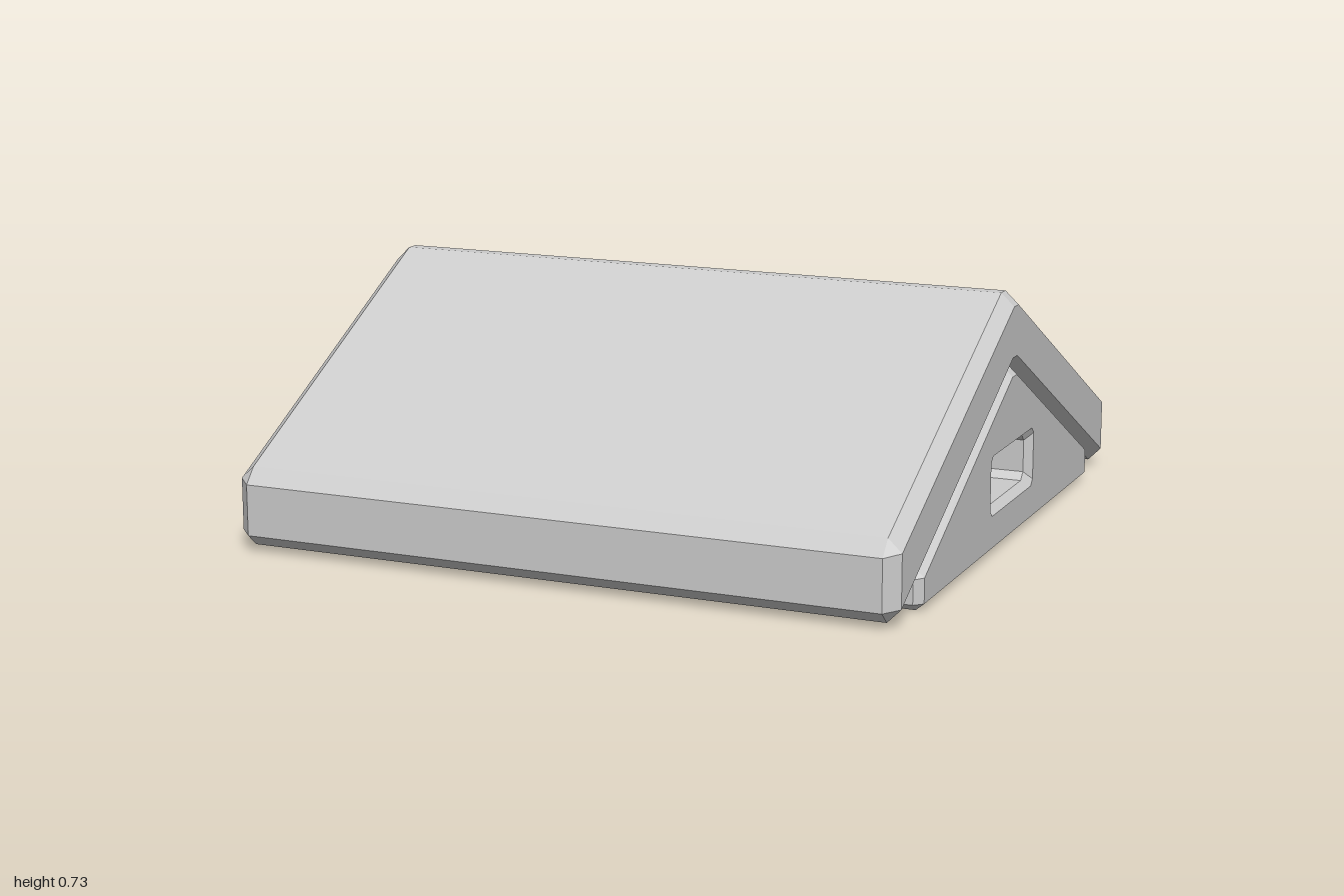
import * as THREE from 'three';

const material = new THREE.MeshStandardMaterial({ color: 0xcccccc, flatShading: true });

// Full symmetric ring of [z, y] points from its +z half, listed top to bottom
const mirrorRing = half => [...half, ...half.slice().reverse().map(([z, y]) => [-z, y])];

// Chamfered prism along x: full profile in the middle, inset profile on both end faces
function chamferedPrism(x0, x1, bevel, loops) {
  const pos = [];
  const a = new THREE.Vector3(), b = new THREE.Vector3(), c = new THREE.Vector3();
  const tri = (p, q, r) => {
    a.set(...p); b.set(...q); c.set(...r);
    if (b.clone().sub(a).cross(c.clone().sub(a)).length() > 1e-7) pos.push(...p, ...q, ...r);
  };

  // Side walls and chamfers
  loops.forEach(({ mid, end }, k) => {
    const rings = [[x0, end], [x0 + bevel, mid], [x1 - bevel, mid], [x1, end]]
      .map(([x, ring]) => ring.map(([z, y]) => [x, y, z]));
    for (let s = 0; s < 3; s++) {
      const r0 = rings[s], r1 = rings[s + 1], n = r0.length;
      for (let i = 0; i < n; i++) {
        // holes run the other way round
        const [p, q] = k === 0 ? [i, (i + 1) % n] : [(i + 1) % n, i];
        tri(r0[p], r0[q], r1[q]);
        tri(r0[p], r1[q], r1[p]);
      }
    }
  });

  // End faces, without the repeated corners
  const flat = loops.map(({ end }) => end
    .filter(([z, y], i) => {
      const [pz, py] = end[(i + end.length - 1) % end.length];
      return Math.hypot(z - pz, y - py) > 1e-6;
    })
    .map(([z, y]) => new THREE.Vector2(z, y)));
  const all = flat.flat();
  for (const f of THREE.ShapeUtils.triangulateShape(flat[0], flat.slice(1))) {
    let [p, q, r] = f.map(i => all[i]);
    // wind so that (z, y) order faces -x
    if ((q.x - p.x) * (r.y - p.y) - (q.y - p.y) * (r.x - p.x) < 0) [q, r] = [r, q];
    const at = (v, x) => [x, v.y, v.x];
    tri(at(p, x0), at(q, x0), at(r, x0));
    tri(at(p, x1), at(r, x1), at(q, x1));
  }

  const geo = new THREE.BufferGeometry();
  geo.setAttribute('position', new THREE.Float32BufferAttribute(pos, 3));
  geo.computeVertexNormals();
  return geo;
}

// Rectangle with cut corners, centred on z = 0
const cutRect = (w, y0, y1, cut) => mirrorRing([
  [w - cut, y1], [w, y1 - cut], [w, y0 + cut], [w - cut, y0],
]);

export function createModel() {
  const group = new THREE.Group();
  const add = (name, geo) => {
    const mesh = new THREE.Mesh(geo, material);
    mesh.name = name;
    group.add(mesh);
  };

  // Pitched roof slab
  add('roof', chamferedPrism(-1, 1, 0.04, [{
    mid: mirrorRing([[0.02, 0.73], [0.96, 0.245], [1, 0.2], [1, 0.05], [0.96, 0.015], [0.02, 0.505]]),
    end: mirrorRing([[0.02, 0.692], [0.96, 0.207], [0.96, 0.207], [0.96, 0.055], [0.96, 0.055], [0.02, 0.543]]),
  }]));

  // Gable panels with a window through each
  for (const [name, x0] of [['rightGable', -1], ['leftGable', 0.8]]) {
    add(name, chamferedPrism(x0, x0 + 0.2, 0.024, [
      {
        mid: mirrorRing([[0.02, 0.51], [0.776, 0.112], [0.8, 0.09], [0.8, 0.02], [0.776, 0]]),
        end: mirrorRing([[0.02, 0.487], [0.776, 0.092], [0.776, 0.092], [0.776, 0.02], [0.776, 0.02]]),
      },
      {
        mid: cutRect(0.185, 0.135, 0.275, 0.022),
        end: cutRect(0.205, 0.115, 0.292, 0.018),
      },
    ]));
  }
  return group;
}
